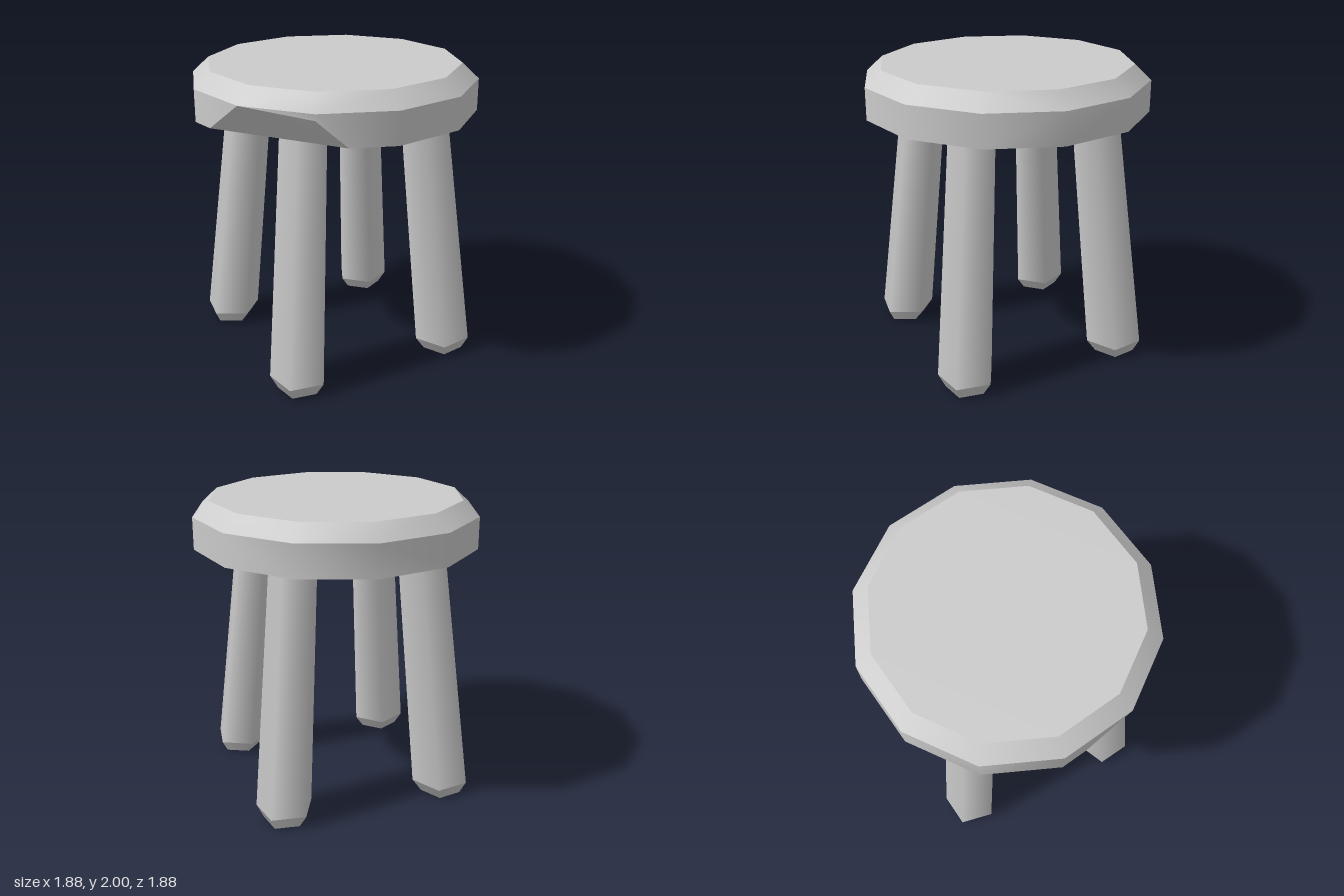
import * as THREE from 'three';
import { toCreasedNormals } from 'three/addons/utils/BufferGeometryUtils.js';
import { ConvexGeometry } from 'three/addons/geometries/ConvexGeometry.js';

const material = new THREE.MeshStandardMaterial({ color: 0xcccccc });

// Corner k of the twelve-sided seat outline
function corner(k, radius, y) {
  const a = THREE.MathUtils.degToRad(4.87 + 30 * k);
  return new THREE.Vector3(radius * Math.cos(a), y, radius * Math.sin(a));
}

// Bevelled seat with one chip cut from its lower edge (corners 4 and 5)
function createSeat() {
  const outer = 0.943, inner = 0.835, bottom = 1.69, rim = 1.9, top = 2;
  const points = [];
  for (let k = 0; k < 12; k++) {
    points.push(corner(k, inner, top), corner(k, outer, rim));
    if (k !== 4 && k !== 5) points.push(corner(k, outer, bottom));
  }
  points.push(
    corner(4, outer, 1.86),
    corner(4, outer, bottom).lerp(corner(3, outer, bottom), 0.393),
    corner(5, outer, bottom).lerp(corner(6, outer, bottom), 0.65)
  );
  const seat = new THREE.Mesh(toCreasedNormals(new ConvexGeometry(points), 0.54), material);
  seat.name = 'seat';
  return seat;
}

// Five-sided tapered leg: shaft, bevelled foot and flat sole, sheared to splay outward
function createLeg() {
  const leg = new THREE.Group();
  const footHeight = 0.085, legTop = 1.72, lean = -0.082, base = 0.566;
  const splay = new THREE.Matrix4().set(
    1, lean, 0, base,
    0, 1, 0, 0,
    0, lean, 1, base,
    0, 0, 0, 1
  );
  const add = (name, geometry) => {
    const mesh = new THREE.Mesh(geometry.applyMatrix4(splay), material);
    mesh.name = name;
    leg.add(mesh);
  };
  const section = (rTop, rBottom, y0, y1) =>
    new THREE.CylinderGeometry(rTop, rBottom, y1 - y0, 5, 1, true, Math.PI / 4)
      .translate(0, (y0 + y1) / 2, 0);
  add('legShaft', section(0.159, 0.192, footHeight, legTop));
  add('legFoot', section(0.192, 0.138, 0, footHeight));
  add('legSole', new THREE.CircleGeometry(0.138, 5, -Math.PI / 4).rotateX(Math.PI / 2));
  return leg;
}

export function createModel() {
  const stool = new THREE.Group();
  stool.name = 'stool';
  stool.add(createSeat());
  ['frontLeftLeg', 'backLeftLeg', 'backRightLeg', 'frontRightLeg'].forEach((name, i) => {
    const leg = createLeg();
    leg.name = name;
    leg.rotation.y = i * Math.PI / 2;
    stool.add(leg);
  });
  return stool;
}
